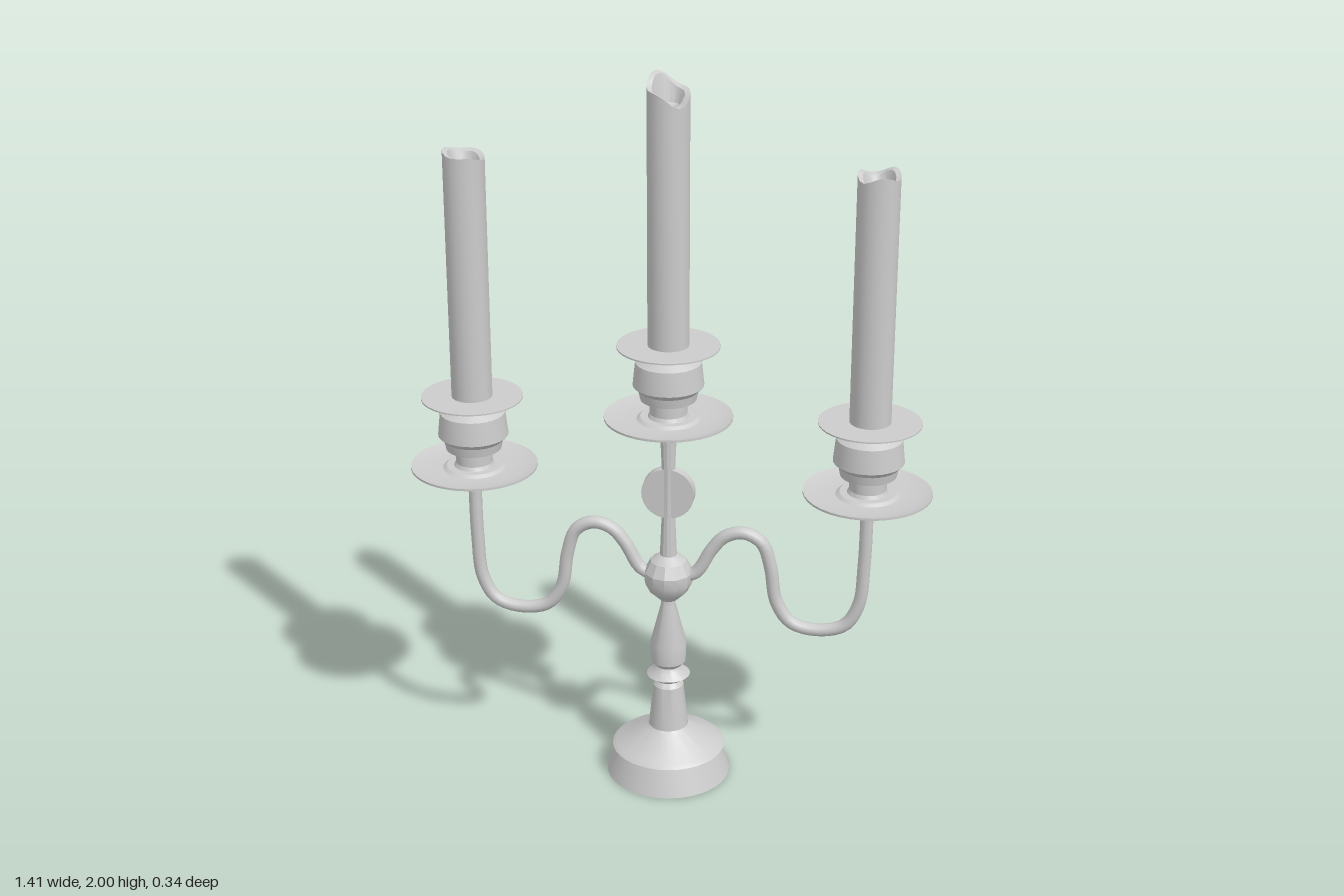
import * as THREE from 'three';
import { toCreasedNormals } from 'three/addons/utils/BufferGeometryUtils.js';

const material = new THREE.MeshStandardMaterial({ color: 0xcccccc, side: THREE.DoubleSide });

function addMesh(parent, name, geometry) {
  const mesh = new THREE.Mesh(geometry, material);
  mesh.name = name;
  parent.add(mesh);
  return mesh;
}

// Turned part from [radius, height] pairs, listed bottom to top
function turned(parent, name, profile, segments = 28) {
  const points = profile.map(([r, y]) => new THREE.Vector2(r, y));
  return addMesh(parent, name, toCreasedNormals(new THREE.LatheGeometry(points, segments), 0.45));
}

// Candle with a hollow, unevenly melted top
function addCandle(parent, bottom, top, tilt, highAngle, ripple) {
  const points = [[0, bottom], [0.055, bottom], [0.055, top], [0.042, top - 0.005], [0.028, top - 0.04], [0, top - 0.055]]
    .map(([r, y]) => new THREE.Vector2(r, y));
  const geometry = new THREE.LatheGeometry(points, 18);
  const pos = geometry.attributes.position;
  for (let i = 0; i < pos.count; i++) {
    const x = pos.getX(i), y = pos.getY(i), z = pos.getZ(i);
    if (y < top - 0.02) continue;
    const a = Math.atan2(z, x);
    pos.setY(i, y + tilt * Math.cos(a - highAngle) + ripple * Math.cos(3 * (a - highAngle)));
  }
  addMesh(parent, 'candle', toCreasedNormals(geometry, 0.6));
}

// Drip tray, cup, collar and candle; heights measured from the tray
function addHolder(name, x, y, candleTop, tilt, highAngle, ripple) {
  const holder = new THREE.Group();
  holder.name = name;
  holder.position.set(x, y, 0);
  turned(holder, 'socket', [[0, -0.055], [0.022, -0.05], [0.03, -0.035], [0.062, -0.022], [0.062, -0.005], [0, 0]], 8);
  turned(holder, 'dripTray', [
    [0, -0.008], [0.14, -0.008], [0.172, 0.006], [0.172, 0.012], [0.14, 0.003], [0.085, 0.003], [0.075, 0.01], [0, 0.01],
  ], 36);
  turned(holder, 'cup', [
    [0.06, 0], [0.05, 0.02], [0.05, 0.05], [0.075, 0.06], [0.08, 0.085], [0.095, 0.1],
    [0.088, 0.165], [0.055, 0.185], [0.052, 0.195], [0.062, 0.208], [0, 0.208],
  ]);
  turned(holder, 'collar', [[0, 0.207], [0.137, 0.207], [0.137, 0.211], [0, 0.211]], 36);
  addCandle(holder, 0.19, candleTop - y, tilt, highAngle, ripple);
  return holder;
}

export function createModel() {
  const model = new THREE.Group();
  model.name = 'candelabrum';

  // Hollow foot
  turned(model, 'foot', [
    [0, 0.035], [0.08, 0.035], [0.13, 0.01], [0.172, 0], [0.145, 0.075],
    [0.157, 0.082], [0.145, 0.092], [0.065, 0.135], [0.055, 0.145],
  ], 36);

  // Baluster column
  turned(model, 'column', [
    [0.055, 0.14], [0.042, 0.27], [0.032, 0.283], [0.04, 0.288], [0.06, 0.303],
    [0.04, 0.32], [0.035, 0.33], [0.048, 0.345], [0.05, 0.4], [0.02, 0.52], [0.02, 0.56],
  ]);

  // Faceted knob where the arms meet
  turned(model, 'knob', [
    [0, 0.53], [0.025, 0.535], [0.053, 0.562], [0.067, 0.59], [0.067, 0.62], [0.05, 0.653], [0.025, 0.67], [0, 0.672],
  ], 12);

  // Upper stem with a flat medallion
  turned(model, 'stem', [[0.024, 0.66], [0.018, 0.8], [0.018, 0.92], [0.022, 1.01], [0.032, 1.025], [0.032, 1.04]], 12);
  const disc = new THREE.CylinderGeometry(0.072, 0.072, 0.03, 28).rotateX(Math.PI / 2);
  addMesh(model, 'medallion', disc).position.y = 0.855;

  // Curved arms, mirrored
  for (const [side, name] of [[1, 'leftArm'], [-1, 'rightArm']]) {
    const path = [
      [0.03, 0.605], [0.075, 0.62], [0.12, 0.695], [0.155, 0.735], [0.205, 0.75], [0.255, 0.725], [0.28, 0.655],
      [0.298, 0.55], [0.34, 0.49], [0.415, 0.474], [0.485, 0.495], [0.522, 0.56], [0.533, 0.68], [0.536, 0.86],
    ].map(([x, y]) => new THREE.Vector3(x * side, y, 0));
    addMesh(model, name, new THREE.TubeGeometry(new THREE.CatmullRomCurve3(path), 64, 0.018, 10));
  }

  // Three candle holders
  model.add(addHolder('centreHolder', 0, 1.068, 1.962, 0.03, -Math.PI * 0.75, 0.009));
  model.add(addHolder('leftHolder', 0.535, 0.888, 1.767, 0.003, -Math.PI / 4, 0.009));
  model.add(addHolder('rightHolder', -0.535, 0.888, 1.77, 0.008, Math.PI, 0.004));

  return model;
}
